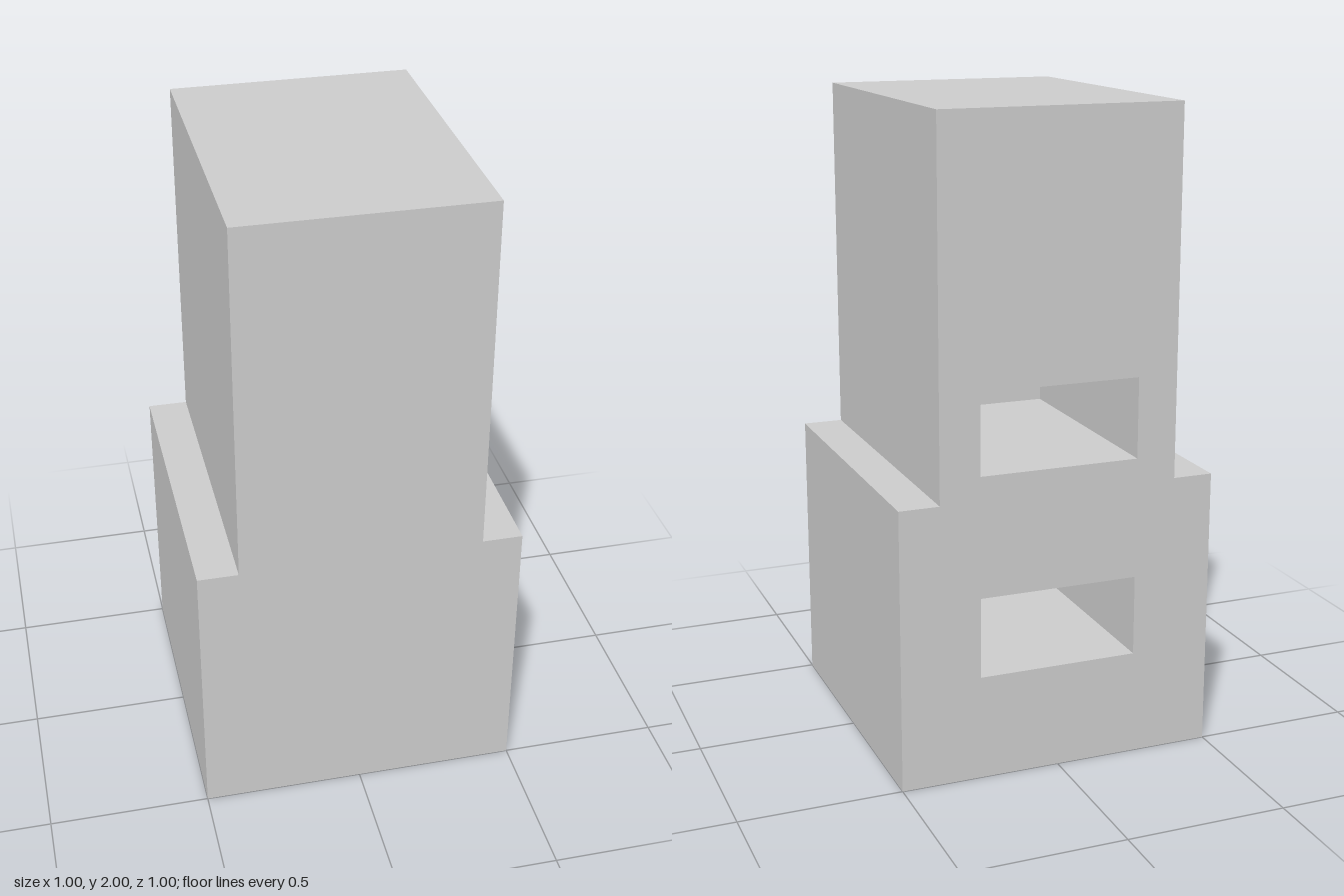
import * as THREE from 'three';
import { mergeGeometries } from 'three/addons/utils/BufferGeometryUtils.js';

const BACK = -0.5;
const RECESS = { width: 0.5, height: 0.25, depth: 0.75, bottoms: [0.325, 0.95] };

// Stepped silhouette: wide base, narrower tower
function silhouette() {
  return new THREE.Shape([
    [-0.5, 0], [0.5, 0], [0.5, 0.875], [0.375, 0.875],
    [0.375, 2], [-0.375, 2], [-0.375, 0.875], [-0.5, 0.875],
  ].map(([x, y]) => new THREE.Vector2(x, y)));
}

// Copy of a geometry without the triangles lying in the back plane
function withoutBack(geometry) {
  const source = geometry.index ? geometry.toNonIndexed() : geometry;
  const p = source.attributes.position;
  const kept = [];
  for (let i = 0; i < p.count; i += 3) {
    const corners = [i, i + 1, i + 2];
    if (corners.every((k) => Math.abs(p.getZ(k) - BACK) < 1e-5)) continue;
    corners.forEach((k) => kept.push(p.getX(k), p.getY(k), p.getZ(k)));
  }
  const result = new THREE.BufferGeometry();
  result.setAttribute('position', new THREE.Float32BufferAttribute(kept, 3));
  return result;
}

export function createModel() {
  const group = new THREE.Group();
  group.name = 'steppedBlock';
  const material = new THREE.MeshStandardMaterial({ color: 0xcccccc, flatShading: true });

  // Outer walls and solid front
  const shell = new THREE.ExtrudeGeometry(silhouette(), { depth: 1, bevelEnabled: false });
  shell.translate(0, 0, BACK);
  const parts = [withoutBack(shell)];

  // Back face with two rectangular openings
  const { width, height, depth, bottoms } = RECESS;
  const backShape = silhouette();
  for (const y of bottoms) {
    const w = width / 2;
    backShape.holes.push(new THREE.Path([
      new THREE.Vector2(-w, y), new THREE.Vector2(-w, y + height),
      new THREE.Vector2(w, y + height), new THREE.Vector2(w, y),
    ]));

    // Blind pocket: a box open at the back, mirrored so its faces point inwards
    const box = new THREE.BoxGeometry(width, height, depth);
    box.translate(0, y + height / 2, BACK + depth / 2);
    const pocket = withoutBack(box);
    const p = pocket.attributes.position;
    for (let i = 0; i < p.count; i++) p.setX(i, -p.getX(i));
    parts.push(pocket);
  }
  const backFace = new THREE.ShapeGeometry(backShape).toNonIndexed();
  backFace.rotateY(Math.PI).translate(0, 0, BACK);
  backFace.deleteAttribute('uv');
  backFace.deleteAttribute('normal');
  parts.push(backFace);

  const geometry = mergeGeometries(parts);
  geometry.computeVertexNormals();
  const body = new THREE.Mesh(geometry, material);
  body.name = 'body';
  group.add(body);
  return group;
}
